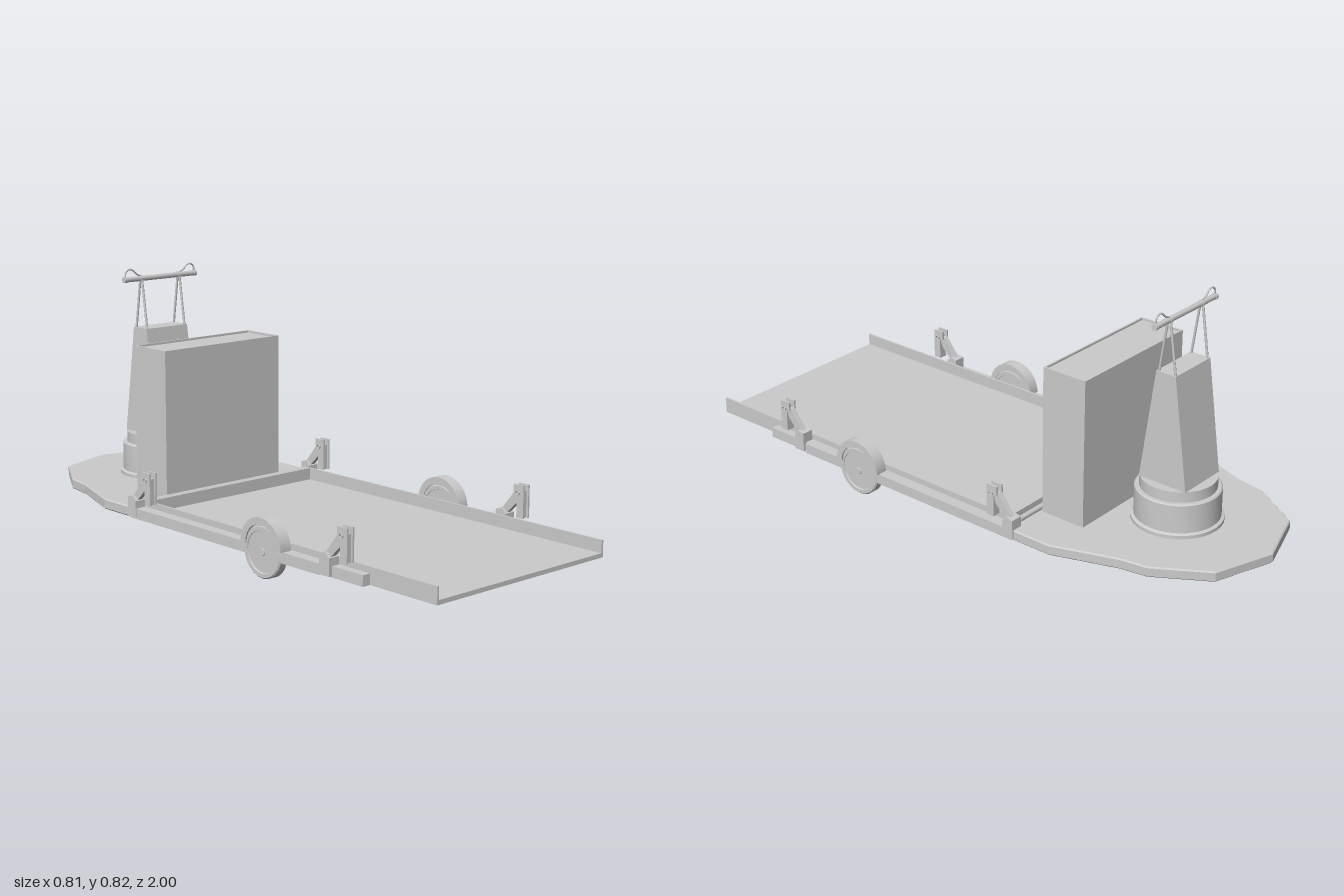
import * as THREE from 'three';
import { toCreasedNormals } from 'three/addons/utils/BufferGeometryUtils.js';

const mat = new THREE.MeshStandardMaterial({ color: 0xcccccc, side: THREE.DoubleSide });

function add(parent, name, geo, x = 0, y = 0, z = 0) {
  const m = new THREE.Mesh(geo, mat);
  m.name = name;
  m.position.set(x, y, z);
  parent.add(m);
  return m;
}

// Box given by its limits
function box(parent, name, x0, x1, y0, y1, z0, z1) {
  return add(parent, name, new THREE.BoxGeometry(x1 - x0, y1 - y0, z1 - z0),
    (x0 + x1) / 2, (y0 + y1) / 2, (z0 + z1) / 2);
}

function lathe(points, segments) {
  const g = new THREE.LatheGeometry(points.map(p => new THREE.Vector2(...p)), segments);
  return toCreasedNormals(g, 0.6);
}

function rod(parent, name, a, b, r) {
  const path = new THREE.LineCurve3(new THREE.Vector3(...a), new THREE.Vector3(...b));
  return add(parent, name, new THREE.TubeGeometry(path, 1, r, 8));
}

// Profile drawn in (z, y), extruded across x from x0 to x1
function sidePlate(parent, name, pts, x0, x1) {
  const shape = new THREE.Shape(pts.map(([z, y]) => new THREE.Vector2(-z, y)));
  const g = new THREE.ExtrudeGeometry(shape, { depth: x1 - x0, bevelEnabled: false, curveSegments: 12 });
  g.rotateY(Math.PI / 2);
  return add(parent, name, g, x0);
}

// Wheel with recessed disc and hub, axle along x
function wheel(parent, name, r, w, x, y, z) {
  const h = w / 2;
  const g = lathe([[0, -h], [r * 0.14, -h], [r * 0.16, -h * 0.7], [r * 0.78, -h * 0.7], [r * 0.8, -h],
    [r * 0.95, -h], [r, -h * 0.75], [r, h * 0.75], [r * 0.95, h], [r * 0.8, h], [r * 0.78, h * 0.7],
    [r * 0.16, h * 0.7], [r * 0.14, h], [0, h]], 24);
  g.rotateZ(Math.PI / 2);
  return add(parent, name, g, x, y, z);
}

// Hinged clamp: foot, diagonal strut and upright with a forked head
function clamp(side, z) {
  const g = new THREE.Group();
  g.name = 'clamp';
  const foot = [[-0.055, 0.07], [-0.055, 0.135], [-0.03, 0.14], [-0.015, 0.125], [-0.015, 0.07]];
  const strut = [[-0.05, 0.125], [0.01, 0.2], [0.035, 0.2], [0.02, 0.165], [-0.03, 0.115]];
  const post = [[0.025, 0.12], [0.025, 0.19], [0.012, 0.195], [0.012, 0.225], [0.052, 0.225], [0.052, 0.12]];
  sidePlate(g, 'clampFoot', foot, 0.358, 0.398);
  sidePlate(g, 'clampStrut', strut, 0.369, 0.387);
  for (const x of [0.363, 0.386]) sidePlate(g, 'clampCheek', post, x, x + 0.006);
  sidePlate(g, 'clampPost', [[0.025, 0.12], [0.025, 0.205], [0.045, 0.205], [0.045, 0.12]], 0.369, 0.386);
  rod(g, 'clampPin', [0.356, 0.2, 0.032], [0.398, 0.2, 0.032], 0.007);
  g.position.z = z;
  side.add(g);
}

function sideParts(dir) {
  const s = new THREE.Group();
  s.name = dir > 0 ? 'leftSide' : 'rightSide';
  box(s, 'trayWall', 0.35, 0.357, 0.066, 0.12, -0.275, 1);
  box(s, 'rail', 0.35, 0.395, 0.066, 0.1, -0.32, 0.57);
  box(s, 'railTip', 0.357, 0.385, 0.066, 0.1, 0.57, 0.74);
  // Wheel and its arched guard
  wheel(s, 'mainWheel', 0.082, 0.034, 0.381, 0.083, 0.325);
  const arch = new THREE.Shape();
  arch.absarc(0, 0, 0.09, 0, Math.PI, false);
  arch.absarc(0, 0, 0.068, Math.PI, 0, true);
  const ag = new THREE.ExtrudeGeometry(arch, { depth: 0.041, bevelEnabled: false, curveSegments: 16 });
  ag.rotateY(Math.PI / 2);
  add(s, 'wheelGuard', toCreasedNormals(ag, 0.6), 0.362, 0.1, 0.325);
  const disc = new THREE.CylinderGeometry(0.07, 0.07, 0.03, 20, 1, false, 0, Math.PI);
  disc.rotateZ(Math.PI / 2);
  add(s, 'guardDisc', disc, 0.381, 0.1, 0.325);
  clamp(s, 0.63);
  clamp(s, -0.27);
  wheel(s, 'rearWheel', 0.062, 0.03, 0.07, 0.064, -0.65);
  // Mast frame legs
  for (const k of [-1, 1]) rod(s, 'mastLeg', [0.081, 0.605, -0.65 + k * 0.03], [0.081, 0.785, -0.65 + k * 0.004], 0.004);
  // Cable loop at the end of the crossbar
  const loop = new THREE.CatmullRomCurve3([[0.083, 0.79], [0.1, 0.797], [0.118, 0.812], [0.132, 0.815],
    [0.146, 0.806], [0.148, 0.785]].map(([x, y]) => new THREE.Vector3(dir * x, y, -0.65)));
  const cable = add(s, 'cableLoop', new THREE.TubeGeometry(loop, 24, 0.003, 8));
  if (dir < 0) {
    cable.scale.x = -1;
    s.scale.x = -1;
  }
  return s;
}

export function createModel() {
  const model = new THREE.Group();
  model.name = 'flatbedCart';

  // Base plate with rounded tail
  const half = [[0.2, -0.93], [0.305, -0.76], [0.32, -0.67], [0.393, -0.46], [0.393, -0.28]];
  const outline = [[0, -0.998], ...half, ...half.map(([x, z]) => [-x, z]).reverse()];
  const e = 0.004;
  const shape = new THREE.Shape(outline.map(([x, z]) => new THREE.Vector2(x, -z)));
  const plate = new THREE.ExtrudeGeometry(shape, {
    depth: 0.027, bevelEnabled: true, bevelThickness: e, bevelSize: e, bevelOffset: -e, bevelSegments: 1
  });
  plate.rotateX(-Math.PI / 2);
  add(model, 'tailPlate', plate, 0, 0.07, 0);

  // Load tray
  box(model, 'trayFloor', -0.35, 0.35, 0.066, 0.08, -0.28, 1);
  box(model, 'trayEndWall', -0.357, 0.357, 0.066, 0.12, -0.282, -0.272);
  rod(model, 'clampShaft', [-0.38, 0.11, -0.305], [0.38, 0.11, -0.305], 0.009);

  // Upright cabinet with a rim around its top
  box(model, 'cabinet', -0.245, 0.245, 0.1, 0.583, -0.475, -0.317);
  const rim = new THREE.Shape([[-0.245, -0.079], [0.245, -0.079], [0.245, 0.079], [-0.245, 0.079]].map(p => new THREE.Vector2(...p)));
  rim.holes.push(new THREE.Path([[-0.239, -0.073], [-0.239, 0.073], [0.239, 0.073], [0.239, -0.073]].map(p => new THREE.Vector2(...p))));
  const rimGeo = new THREE.ExtrudeGeometry(rim, { depth: 0.007, bevelEnabled: false });
  rimGeo.rotateX(-Math.PI / 2);
  add(model, 'cabinetRim', rimGeo, 0, 0.583, -0.396);

  // Round turntable
  add(model, 'turntable', lathe([[0, 0.098], [0.145, 0.098], [0.145, 0.112], [0.135, 0.116], [0.135, 0.208],
    [0.131, 0.212], [0.12, 0.212], [0.12, 0.247], [0, 0.247]], 32), 0, 0, -0.65);

  // Tower narrowing front to back
  sidePlate(model, 'tower', [[-0.736, 0.245], [-0.685, 0.612], [-0.615, 0.612], [-0.564, 0.245]], -0.088, 0.088);

  // Crossbar on top of the mast
  rod(model, 'crossbar', [-0.155, 0.781, -0.65], [0.155, 0.781, -0.65], 0.009);
  for (const x of [-0.155, -0.085, 0.075, 0.145]) {
    const collar = new THREE.CylinderGeometry(0.0105, 0.0105, 0.01, 12);
    collar.rotateZ(Math.PI / 2);
    add(model, 'crossbarCollar', collar, x + 0.005, 0.781, -0.65);
  }

  model.add(sideParts(1), sideParts(-1));
  return model;
}
